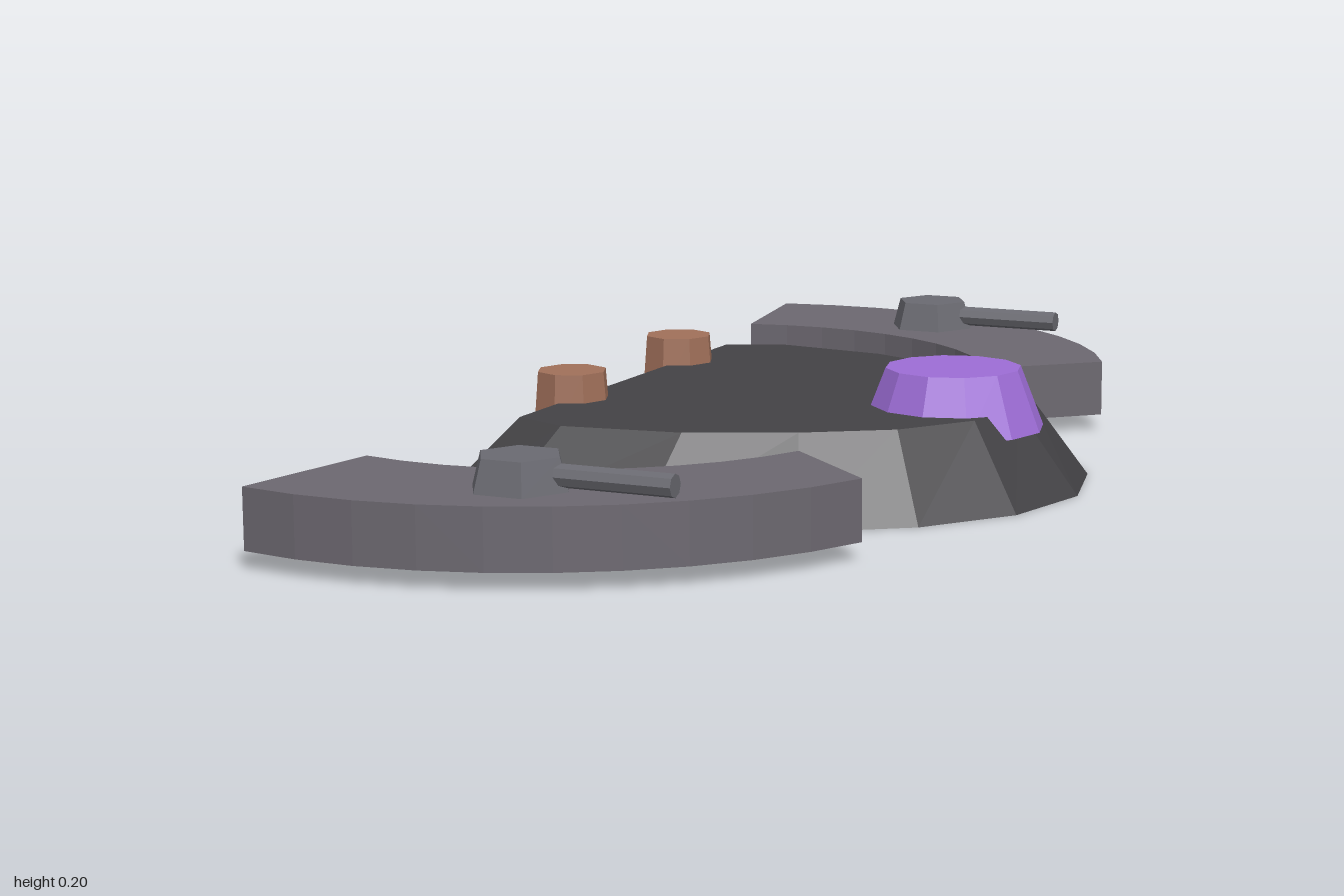
import * as THREE from 'three';

const mat = (name, color) => {
  const m = new THREE.MeshStandardMaterial({ color, flatShading: true });
  m.name = name;
  return m;
};

// Faceted hull lofted between a base outline and a smaller deck outline
function hullGeometry(base, deck, height) {
  const ring = (half, y) => [
    ...half.map(([x, z]) => [x, y, z]),
    ...half.slice(0, -1).reverse().map(([x, z]) => [x, y, -z]),
  ];
  const b = ring(base, 0), t = ring(deck, height), n = b.length, pos = [];
  const tri = (...p) => p.forEach((v) => pos.push(...v));
  for (let i = 0; i < n; i++) {
    const j = (i + 1) % n;
    tri(b[i], b[j], t[j]);
    tri(b[i], t[j], t[i]);
    if (i > 0 && i < n - 1) {
      tri(t[0], t[i], t[j]);
      tri(b[0], b[j], b[i]);
    }
  }
  const g = new THREE.BufferGeometry();
  g.setAttribute('position', new THREE.Float32BufferAttribute(pos, 3));
  g.computeVertexNormals();
  return g;
}

// Curved wing slab bounded by two arcs with slightly different centres
function wingGeometry(side) {
  const arc = (cx, cy, r, x0, y0, x1, y1, n = 10) => {
    const a0 = Math.atan2(y0 - cy, x0 - cx), a1 = Math.atan2(y1 - cy, x1 - cx);
    return Array.from({ length: n + 1 }, (_, i) => {
      const a = a0 + ((a1 - a0) * i) / n;
      return new THREE.Vector2(cx + r * Math.cos(a), side * (cy + r * Math.sin(a)));
    });
  };
  const outer = arc(-0.32, 0.297, 0.703, -0.48, 0.98, 0.333, 0.565);
  const inner = arc(-0.31, 0.217, 0.508, -0.435, 0.71, 0.16, 0.41);
  const g = new THREE.ExtrudeGeometry(new THREE.Shape([...outer, ...inner.reverse()]), {
    depth: 0.097, bevelEnabled: false,
  });
  return g.rotateX(-Math.PI / 2).translate(0, 0.028, 0);
}

export function createModel() {
  const root = new THREE.Group();
  const hullMat = mat('dark hull', 0x434245);
  const wingMat = mat('grey wing', 0x6c6870);
  const turretMat = mat('grey turret', 0x6a6a71);
  const domeMat = mat('purple dome', 0x9d6dd6);
  const engineMat = mat('copper engine', 0xa0705a);

  const add = (name, geometry, material, x = 0, y = 0, z = 0, parent = root) => {
    const m = new THREE.Mesh(geometry, material);
    m.name = name;
    m.position.set(x, y, z);
    parent.add(m);
    return m;
  };

  // Main hull
  const base = [[-0.447, 0.503], [-0.32, 0.55], [-0.07, 0.522], [0.165, 0.43], [0.325, 0.322], [0.435, 0.177], [0.477, 0]];
  const deck = [[-0.34, 0.395], [-0.243, 0.436], [-0.042, 0.41], [0.127, 0.336], [0.26, 0.25], [0.345, 0.13], [0.372, 0]];
  add('hull', hullGeometry(base, deck, 0.138), hullMat);

  // Cockpit dome at the nose
  add('cockpitDome', new THREE.CylinderGeometry(0.113, 0.152, 0.1, 12), domeMat, 0.258, 0.15, 0);

  for (const side of [1, -1]) {
    const label = side > 0 ? 'far' : 'near';

    // Engine stacks on the rear edge
    const engine = new THREE.CylinderGeometry(0.059, 0.067, 0.1, 8);
    add(label + 'EngineStack', engine, engineMat, -0.345, 0.135, -side * 0.203);

    // Curved side wing
    add(label + 'Wing', wingGeometry(side), wingMat);

    // Hexagonal turret with a forward barrel
    const turret = new THREE.Group();
    turret.name = label + 'Turret';
    turret.position.set(-0.102, 0.125, -side * 0.826);
    root.add(turret);
    const body = new THREE.CylinderGeometry(0.066, 0.08, 0.051, 6).rotateY(Math.PI / 2);
    // Turn the hexagon so that two corners lie along x
    add('turretBody', body, turretMat, 0, 0.0255, 0, turret);
    const barrel = new THREE.CylinderGeometry(0.018, 0.018, 0.24, 8).rotateZ(-Math.PI / 2);
    add('turretBarrel', barrel, turretMat, 0.132, 0.024, 0, turret);
  }
  return root;
}
